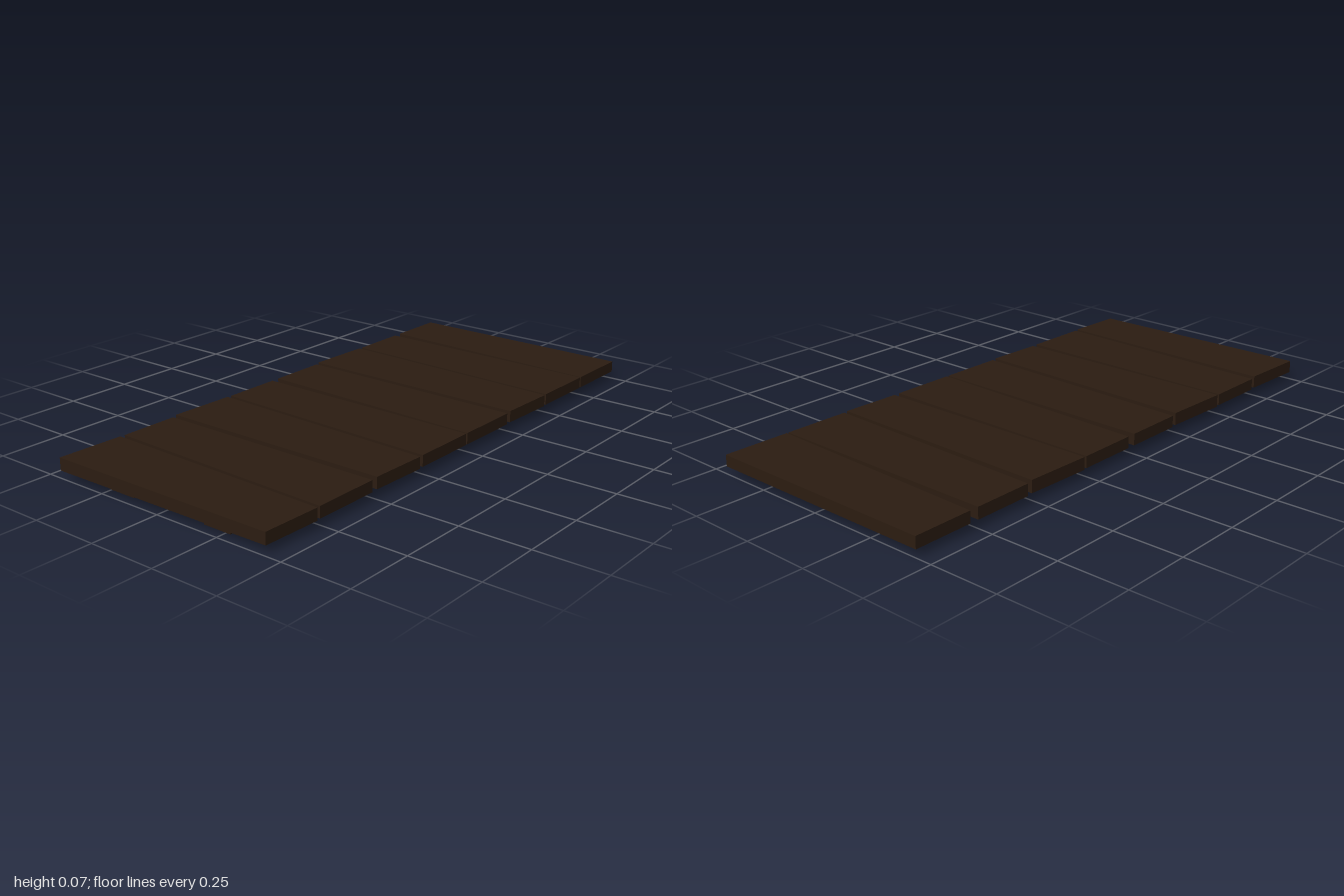
import * as THREE from 'three';

export function createModel() {
  const group = new THREE.Group();
  const wood = new THREE.MeshStandardMaterial({ color: 0x2b1c11, flatShading: true });

  // Tapered planks: [back left, back right, front left, front right] x positions,
  // skew of the end cuts, top height at the back and at the front
  const planks = [
    [-1.0, -0.755, -0.99, -0.775, 0.004, 0.072, 0.069],
    [-0.733, -0.514, -0.76, -0.514, 0, 0.069, 0.068],
    [-0.496, -0.25, -0.487, -0.273, 0.004, 0.072, 0.069],
    [-0.228, -0.008, -0.254, -0.01, 0, 0.069, 0.068],
    [0.024, 0.245, -0.002, 0.243, 0, 0.069, 0.068],
    [0.26, 0.505, 0.267, 0.487, 0.004, 0.072, 0.069],
    [0.527, 0.747, 0.502, 0.747, 0, 0.069, 0.068],
    [0.78, 1.0, 0.754, 1.0, 0, 0.069, 0.068],
  ];
  const bottom = 0.027;
  planks.forEach(([bl, br, fl, fr, skew, backTop, frontTop], i) => {
    const geo = new THREE.BoxGeometry(1, 1, 1);
    const p = geo.attributes.position;
    for (let k = 0; k < p.count; k++) {
      const right = p.getX(k) > 0, up = p.getY(k) > 0, front = p.getZ(k) > 0;
      const x = front ? (right ? fr : fl) : (right ? br : bl);
      const y = up ? (front ? frontTop : backTop) : bottom;
      const z = (front ? 0.438 : -0.441) + (right ? skew : -skew) * (front ? 0.7 : 1);
      p.setXYZ(k, x, y, z);
    }
    geo.computeVertexNormals();
    const plank = new THREE.Mesh(geo, wood);
    plank.name = `plank${i + 1}`;
    group.add(plank);
  });

  // Two battens running under the planks
  [['frontBatten', 0.214], ['backBatten', -0.201]].forEach(([name, z]) => {
    const batten = new THREE.Mesh(new THREE.BoxGeometry(1.89, 0.028, 0.108), wood);
    batten.name = name;
    batten.position.set(-0.015, 0.014, z);
    group.add(batten);
  });

  return group;
}
